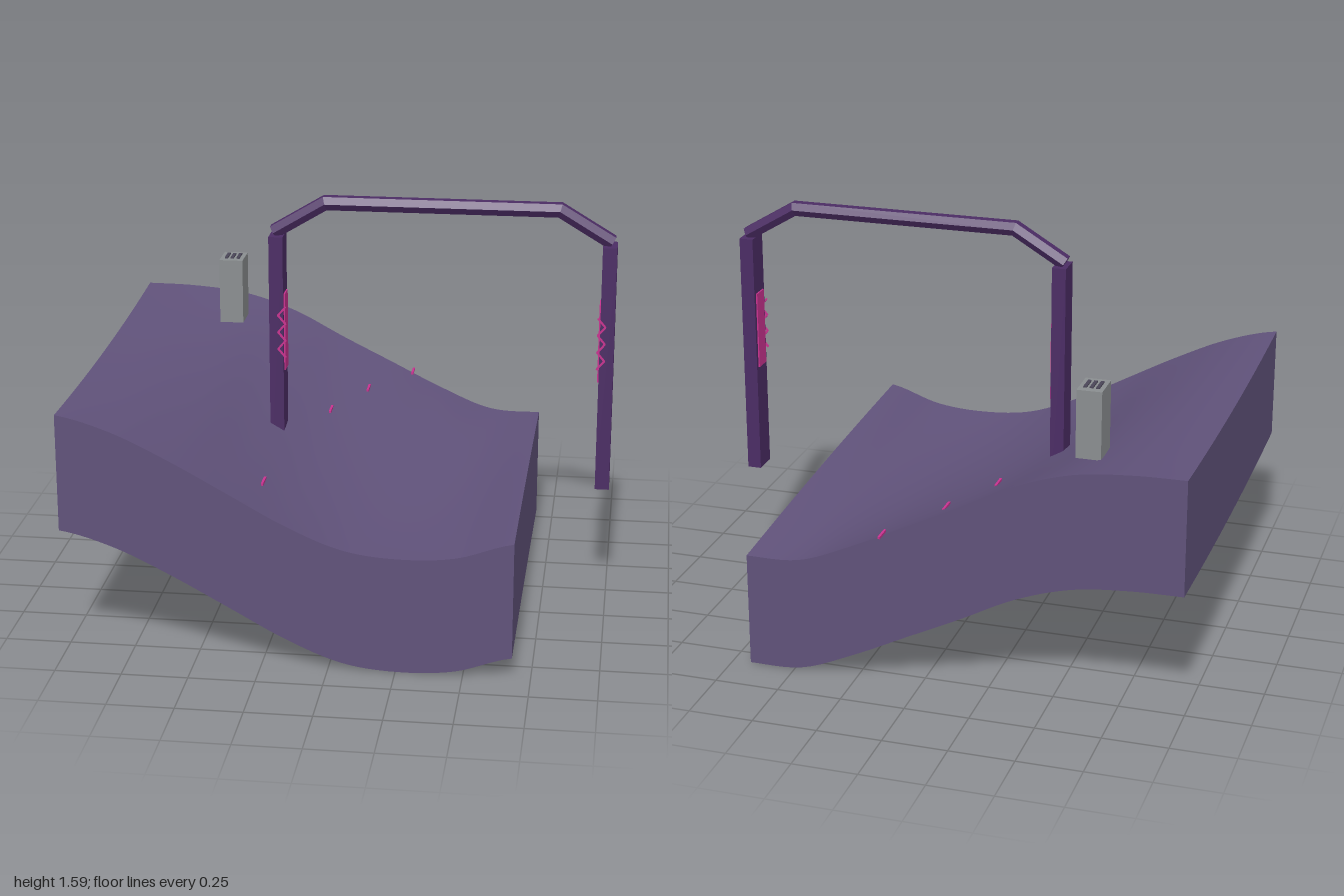
import * as THREE from 'three';

const material = (name, color, side = THREE.FrontSide) => {
  const m = new THREE.MeshStandardMaterial({ color, side });
  m.name = name;
  return m;
};

// Hill profiles along x, at the front, middle and back of the block
const PROFILES = [
  [0.95, 0.89, 0.79, 0.675, 0.56, 0.475, 0.45, 0.465, 0.53],
  [0.937, 0.905, 0.825, 0.7, 0.585, 0.505, 0.457, 0.455, 0.5],
  [0.965, 0.96, 0.935, 0.865, 0.755, 0.65, 0.545, 0.46, 0.45],
].map((ys) => new THREE.SplineCurve(ys.map((y, i) => new THREE.Vector2(-1 + 0.21 * i, y))));
const CX = -0.16, CZ = 0.015, HALF = 0.84, DEPTH = 0.45;

// Ground height: quadratic blend of the three profiles
function groundHeight(x, z) {
  const u = THREE.MathUtils.clamp((x + 1) / 1.68, 0, 1);
  const t = THREE.MathUtils.clamp((z - CZ) / HALF, -1, 1);
  const [front, mid, back] = PROFILES.map((c) => c.getPoint(u).y);
  return front * t * (t + 1) / 2 + mid * (1 - t * t) + back * t * (t - 1) / 2;
}

function drape(geometry, drop) {
  const p = geometry.attributes.position;
  for (let i = 0; i < p.count; i++) {
    const down = drop && p.getY(i) < 0 ? DEPTH : 0;
    p.setY(i, groundHeight(p.getX(i), p.getZ(i)) - down);
  }
  geometry.computeVertexNormals();
  return geometry;
}

// Hexagonal bar swept along a path in the xy plane with mitred corners
function sweepBar(path, halfHeight, halfWidth) {
  const pos = [], idx = [], n = 6;
  path.forEach((p, i) => {
    const a = path[Math.max(i - 1, 0)], b = path[Math.min(i + 1, path.length - 1)];
    const d1 = p.clone().sub(a).normalize(), d2 = b.clone().sub(p).normalize();
    const d = d1.clone().add(d2).normalize();
    const miter = 1 / Math.max(d.dot(d1), d.dot(d2));
    for (let k = 0; k < n; k++) {
      const ang = k * Math.PI / 3;
      const r = Math.sin(ang) / Math.sin(Math.PI / 3) * halfHeight * miter;
      pos.push(p.x - d.y * r, p.y + d.x * r, Math.cos(ang) * halfWidth);
    }
  });
  for (let i = 0; i < path.length - 1; i++) {
    for (let k = 0; k < n; k++) {
      const a = i * n + k, b = i * n + (k + 1) % n;
      idx.push(a, a + n, b, b, a + n, b + n);
    }
  }
  const last = (path.length - 1) * n;
  for (let k = 1; k < n - 1; k++) idx.push(0, k, k + 1, last, last + k + 1, last + k);
  const g = new THREE.BufferGeometry();
  g.setAttribute('position', new THREE.Float32BufferAttribute(pos, 3));
  g.setIndex(idx);
  const flat = g.toNonIndexed();
  flat.computeVertexNormals();
  return flat;
}

export function createModel() {
  const model = new THREE.Group();
  const ground = material('dusky purple ground', 0x60527a, THREE.DoubleSide);
  const frame = material('deep purple frame', 0x4b2c64, THREE.DoubleSide);
  const pink = material('magenta glow', 0xc8328f);
  const grey = material('grey casing', 0x8a8e90);
  const dark = material('dark vent', 0x4a4658);

  const add = (parent, name, geometry, mat, x = 0, y = 0, z = 0) => {
    const m = new THREE.Mesh(geometry, mat);
    m.name = name;
    m.position.set(x, y, z);
    parent.add(m);
    return m;
  };
  const box = (parent, name, w, h, d, mat, x, y, z) =>
    add(parent, name, new THREE.BoxGeometry(w, h, d), mat, x, y, z);

  // Wavy ground with four walls and an open underside
  const hill = new THREE.Group();
  hill.name = 'hill';
  model.add(hill);
  const top = new THREE.PlaneGeometry(2 * HALF, 2 * HALF, 48, 32);
  top.rotateX(-Math.PI / 2).translate(CX, 0, CZ);
  add(hill, 'hillTop', drape(top, false), ground);
  ['frontWall', 'leftWall', 'backWall', 'rightWall'].forEach((name, k) => {
    const wall = new THREE.PlaneGeometry(2 * HALF, 1, 48, 1);
    wall.translate(0, 0, HALF).rotateY(k * Math.PI / 2).translate(CX, 0, CZ);
    add(hill, name, drape(wall, true), ground);
  });

  // Gate: two posts, each with a glowing panel and a zigzag on its inner edge
  const gate = new THREE.Group();
  gate.name = 'gate';
  model.add(gate);
  for (const side of [-1, 1]) {
    const post = new THREE.Group();
    post.name = side < 0 ? 'rightPost' : 'leftPost';
    post.position.set(0.3325 + side * 0.64, 0, 0.02);
    gate.add(post);
    box(post, 'postColumn', 0.055, 0.975, 0.1, frame, 0, 0.9425, 0);
    box(post, 'glowPanel', 0.006, 0.31, 0.07, pink, -side * 0.03, 1.045, 0);
    for (let i = 0; i < 6; i++) {
      const bar = box(post, 'zigzagBar', 0.007, 0.046, 0.007, pink,
        -side * 0.022, 0.965 + i * 0.034, 0.053);
      bar.rotation.z = (i % 2 ? 1 : -1) * side * 0.7;
    }
  }
  const path = [[-0.32, 1.44], [-0.12, 1.56], [0.78, 1.56], [0.98, 1.44]]
    .map(([x, y]) => new THREE.Vector2(x, y));
  add(gate, 'crossbeam', sweepBar(path, 0.026, 0.034), frame, 0, 0, 0.018);

  // Small markers lying across the slope
  [[-0.28, 0.575], [-0.14, -0.265], [-0.02, -0.545], [0.137, -0.828]].forEach(([x, z]) =>
    box(model, 'slopeMarker', 0.009, 0.009, 0.072, pink, x, groundHeight(x, z) + 0.006, z));

  // Vented box on the high ground
  const vent = new THREE.Group();
  vent.name = 'ventBox';
  vent.position.set(-0.583, 0, -0.543);
  model.add(vent);
  box(vent, 'casing', 0.096, 0.265, 0.13, grey, 0, 1.0425, 0);
  for (const i of [-1, 0, 1]) {
    box(vent, 'ventSlot', 0.013, 0.006, 0.07, dark, i * 0.024, 1.177, 0);
  }
  return model;
}
